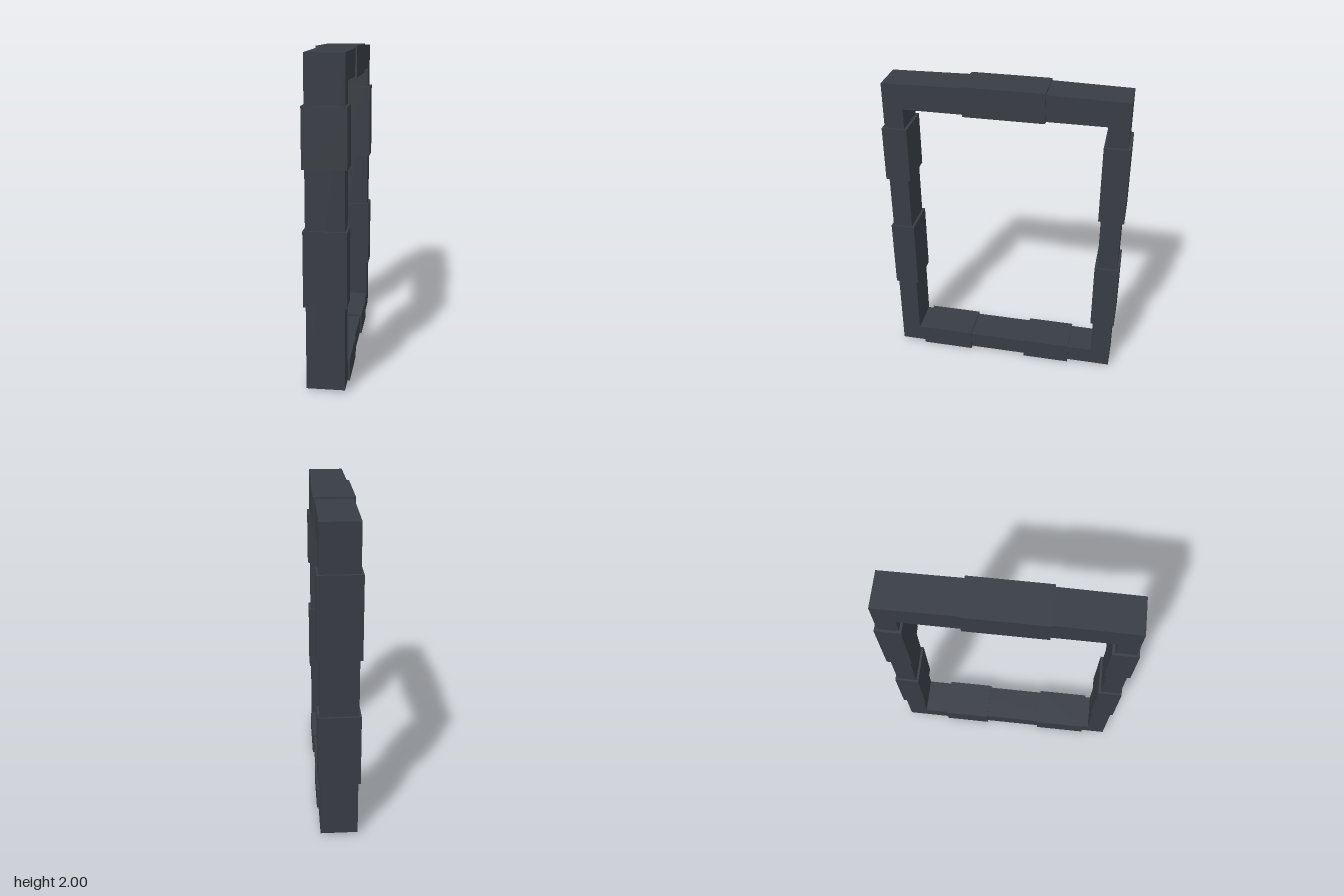
import * as THREE from 'three';

export function createModel() {
  const group = new THREE.Group();
  const stone = new THREE.MeshStandardMaterial({ color: 0x383d44 });
  stone.name = 'dark slate';

  // Rectangular frame, drawn in the z-y plane; the lintel rises slightly at its middle
  const outline = new THREE.Shape([
    [-0.743, 0.015], [0.745, 0.015], [0.745, 1.98], [0.25, 1.99], [-0.25, 1.99], [-0.743, 1.98],
  ].map(([z, y]) => new THREE.Vector2(z, y)));
  outline.holes.push(new THREE.Path([
    [-0.615, 0.127], [-0.615, 1.822], [0.62, 1.822], [0.62, 0.127],
  ].map(([z, y]) => new THREE.Vector2(z, y))));
  const frameGeometry = new THREE.ExtrudeGeometry(outline, { depth: 0.23, bevelEnabled: false });
  frameGeometry.translate(0, 0, -0.115).rotateY(-Math.PI / 2);
  const frame = new THREE.Mesh(frameGeometry, stone);
  frame.name = 'doorFrame';
  group.add(frame);

  // Thicker blocks wrapped around the frame: name, z range, y range, half width
  const blocks = [
    ['lintelBlock', -0.25, 0.247, 1.812, 2.0, 0.125],
    ['frontUpperBlock', 0.602, 0.76, 1.34, 1.693, 0.13],
    ['frontLowerBlock', 0.604, 0.757, 0.53, 0.985, 0.128],
    ['backUpperBlock', -0.76, -0.6, 1.19, 1.693, 0.13],
    ['backLowerBlock', -0.757, -0.6, 0.375, 0.83, 0.128],
    ['sillFrontBlock', 0.237, 0.583, 0, 0.138, 0.125],
    ['sillBackBlock', -0.455, -0.145, 0, 0.138, 0.125],
  ];
  for (const [name, z0, z1, y0, y1, half] of blocks) {
    const block = new THREE.Mesh(new THREE.BoxGeometry(half * 2, y1 - y0, z1 - z0), stone);
    block.position.set(0, (y0 + y1) / 2, (z0 + z1) / 2);
    block.name = name;
    group.add(block);
  }
  return group;
}
